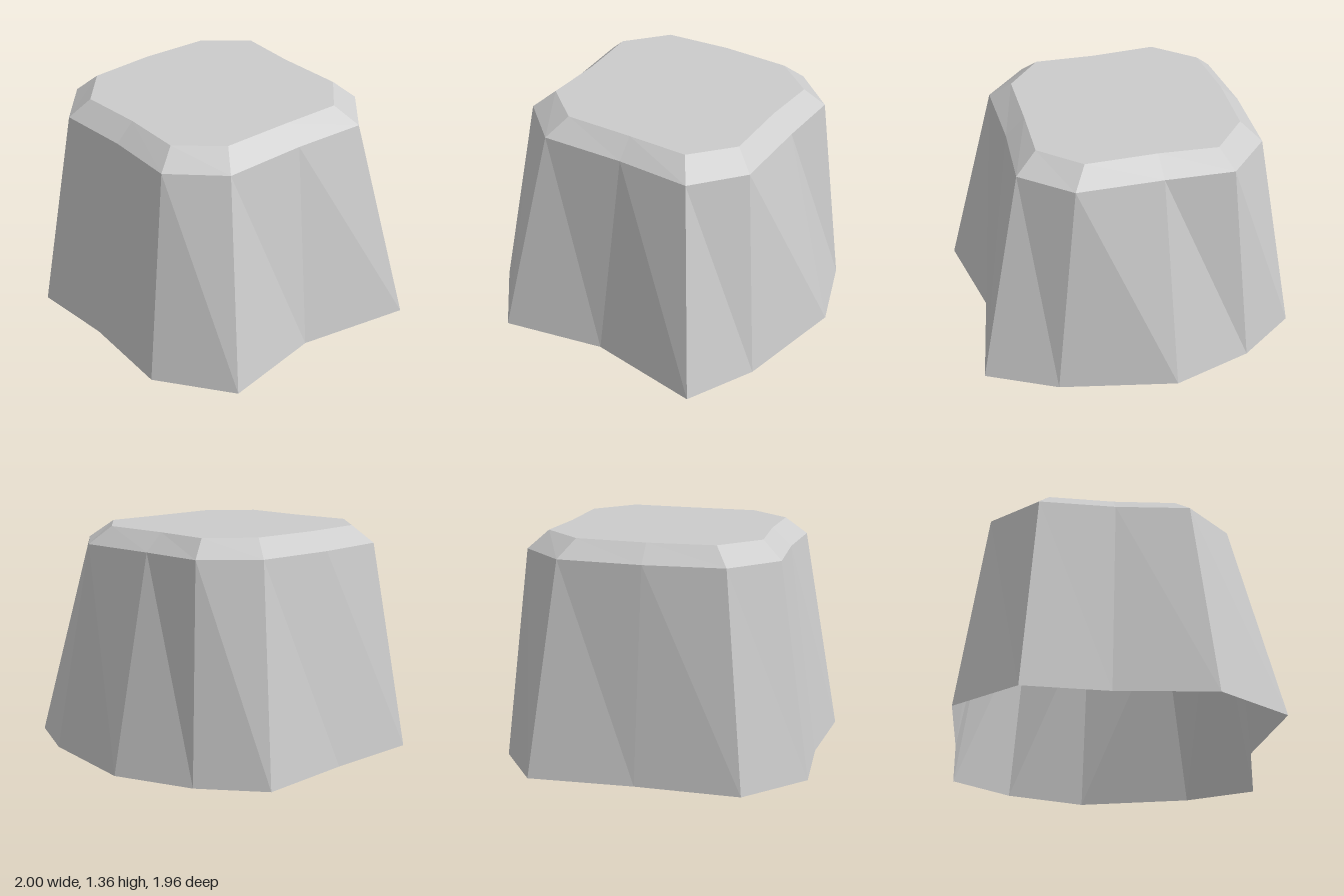
import * as THREE from 'three';

// Outlines as [x, z], clockwise seen from above
const base = [[-0.62, -0.98], [0, -0.95], [0.63, -0.955], [0.87, -0.59], [1, -0.1], [0.82, 0.58],
  [0.59, 0.975], [-0.09, 0.81], [-0.715, 0.885], [-1, 0.45], [-0.935, -0.13], [-0.95, -0.635]];
const shoulder = [[-0.495, -0.81], [-0.02, -0.82], [0.485, -0.77], [0.745, -0.5], [0.71, -0.09], [0.685, 0.42],
  [0.425, 0.69], [-0.02, 0.64], [-0.53, 0.62], [-0.795, 0.345], [-0.755, -0.09], [-0.76, -0.54]];
const rim = [[-0.42, -0.7], [-0.02, -0.705], [0.4, -0.66], [0.63, -0.44], [0.59, -0.09], [0.575, 0.335],
  [0.35, 0.555], [-0.02, 0.525], [-0.44, 0.5], [-0.67, 0.28], [-0.64, -0.09], [-0.645, -0.475]];

const atHeight = (ring, y) => ring.map(([x, z]) => [x, y, z]);

function geometryFrom(points) {
  const geometry = new THREE.BufferGeometry();
  geometry.setAttribute('position', new THREE.Float32BufferAttribute(points.flat(), 3));
  geometry.computeVertexNormals();
  return geometry;
}

// Band of quads joining two outlines
function band(lower, upper) {
  const points = [];
  lower.forEach((a, i) => {
    const j = (i + 1) % lower.length;
    points.push(a, upper[i], upper[j], a, upper[j], lower[j]);
  });
  return geometryFrom(points);
}

// Flat lid over an outline
function lid(ring) {
  const centre = [0, ring[0][1], 0];
  const points = [];
  ring.forEach((a, i) => points.push(centre, ring[(i + 1) % ring.length], a));
  return geometryFrom(points);
}

export function createModel() {
  const model = new THREE.Group();
  model.name = 'rockStump';
  const stone = new THREE.MeshStandardMaterial({ color: 0xcccccc, flatShading: true, side: THREE.DoubleSide });
  stone.name = 'light grey stone';

  const low = atHeight(base, 0);
  const mid = atHeight(shoulder, 1.255);
  const high = atHeight(rim, 1.36);

  // Open-bottomed shell: walls, bevel, flat top
  const parts = { walls: band(low, mid), bevel: band(mid, high), flatTop: lid(high) };
  for (const [name, geometry] of Object.entries(parts)) {
    const mesh = new THREE.Mesh(geometry, stone);
    mesh.name = name;
    model.add(mesh);
  }
  return model;
}
